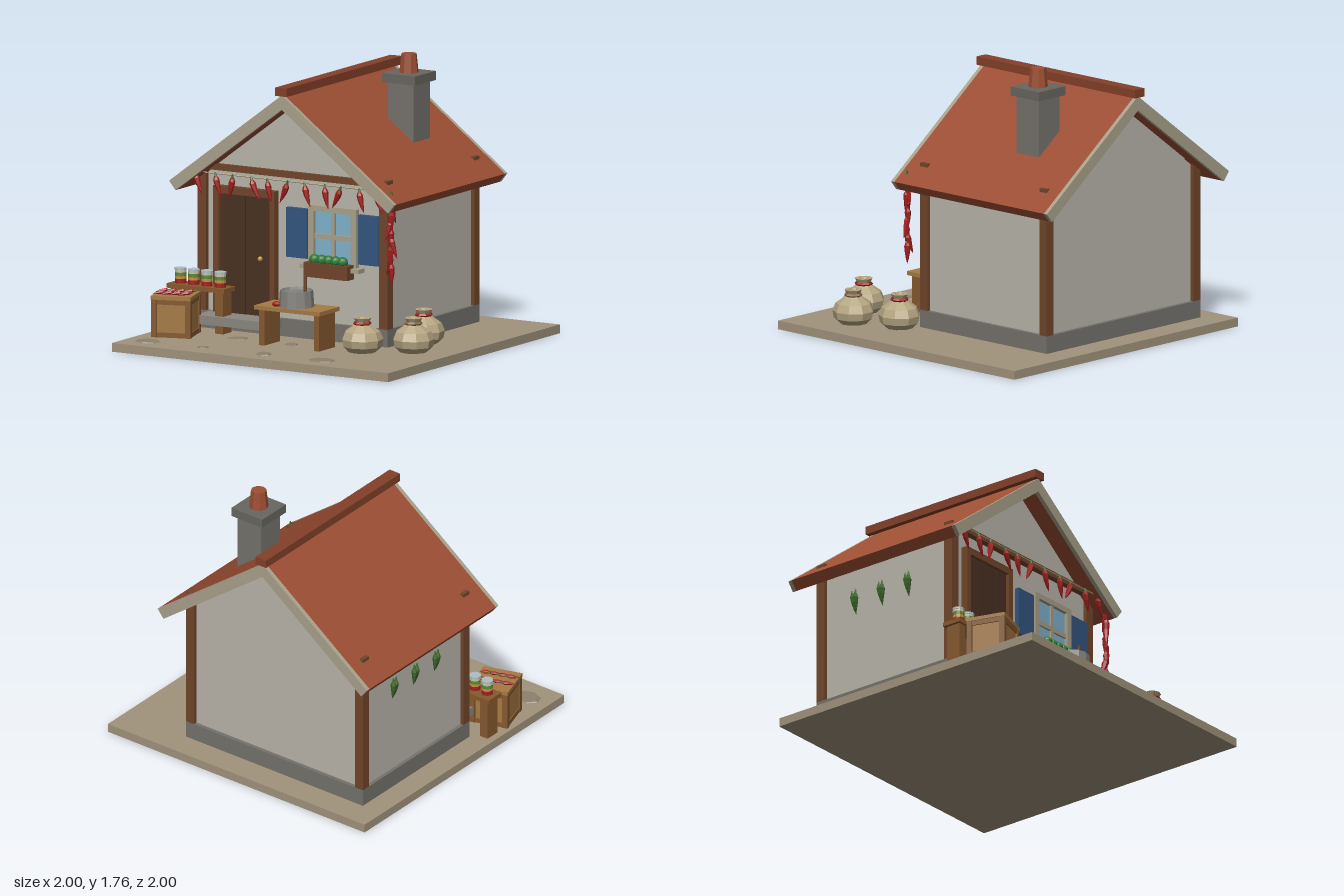
import * as THREE from 'three';

const C = {
  ground: 0xa0937c, stone: 0x75726c, wall: 0xb9b5ab, wood: 0x70452a, door: 0x4a3022, roof: 0x9c4e33,
  ridge: 0x834029, trim: 0xa9a18b, glass: 0x7fb2cb, blue: 0x33557f, leaf: 0x2f7a35, red: 0xa3211f,
  sack: 0xb5a581, oak: 0xa57a43, crate: 0x86592f, gold: 0xc79a3c, patch: 0x8d806c, greenChili: 0x3f6b2c,
};
const mats = {};
const mat = (c) => (mats[c] ??= new THREE.MeshStandardMaterial({ color: c, flatShading: true, side: THREE.DoubleSide }));

function add(parent, name, geo, color, x = 0, y = 0, z = 0) {
  const m = new THREE.Mesh(geo, mat(color));
  m.name = name;
  m.position.set(x, y, z);
  parent.add(m);
  return m;
}

// Box given by its limits on each axis
const box = (p, name, c, x0, x1, y0, y1, z0, z1) =>
  add(p, name, new THREE.BoxGeometry(x1 - x0, y1 - y0, z1 - z0), c, (x0 + x1) / 2, (y0 + y1) / 2, (z0 + z1) / 2);

// Outline in x/y extruded from z0 to z1
function slab(p, name, c, pts, x, z0, z1) {
  const shape = new THREE.Shape(pts.map(([a, b]) => new THREE.Vector2(a, b)));
  return add(p, name, new THREE.ExtrudeGeometry(shape, { depth: z1 - z0, bevelEnabled: false }), c, x, 0, z0);
}

const lathe = (pts, n) => new THREE.LatheGeometry(pts.map(([r, y]) => new THREE.Vector2(r, y)), n);

function group(parent, name, x = 0, y = 0, z = 0) {
  const g = new THREE.Group();
  g.name = name;
  g.position.set(x, y, z);
  parent.add(g);
  return g;
}

// Curved pepper hanging down from its stem
const podGeo = lathe([[0, -0.135], [0.009, -0.105], [0.017, -0.06], [0.02, -0.025], [0.012, -0.005], [0, 0]], 6);
const podPos = podGeo.attributes.position;
for (let i = 0; i < podPos.count; i++) podPos.setX(i, podPos.getX(i) + 1.1 * podPos.getY(i) ** 2);
const stemGeo = new THREE.CylinderGeometry(0.004, 0.01, 0.025, 5);
function chili(parent, color, x, y, z, tilt = 0, scale = 1) {
  const g = group(parent, 'chili', x, y, z);
  add(g, 'pod', podGeo, color);
  add(g, 'stem', stemGeo, C.greenChili, 0, 0.01, 0);
  g.rotation.z = tilt;
  g.scale.setScalar(scale);
  return g;
}

export function createModel() {
  const root = new THREE.Group();
  root.name = 'cottage';
  const CX = -0.162; // ridge line

  // Ground with flat paving stones
  box(root, 'ground', C.ground, -1, 1, 0, 0.055, -1, 1);
  [[-0.84, 0.84, 0.09], [-0.44, 0.84, 0.04], [0, 0.84, 0.065], [0.42, 0.84, 0.09],
    [-0.42, 0.47, 0.07], [-0.03, 0.47, 0.05], [0.42, 0.47, 0.05]].forEach(([x, z, r], i) => {
    const s = add(root, 'pavingStone', new THREE.CylinderGeometry(r * 0.9, r, 0.008, 7), C.patch, x, 0.057, z);
    s.rotation.y = i;
    s.scale.z = 0.8;
  });

  // House body
  box(root, 'foundation', C.stone, -0.85, 0.527, 0.055, 0.165, -0.825, 0.245);
  box(root, 'doorStep', C.stone, -0.76, -0.24, 0.11, 0.165, 0.245, 0.42).material = mat(0x8a877f);
  slab(root, 'walls', C.wall, [[-0.665, 0.165], [0.665, 0.165], [0.665, 1.05], [0, 1.54], [-0.665, 1.05]], CX, -0.8, 0.22);
  for (const [a, b] of [[0.22, 0.235], [-0.815, -0.8]])
    slab(root, 'gable', C.wall, [[-0.6, 1.075], [0.6, 1.075], [0, 1.53]], CX, a, b);
  for (const x of [-0.85, 0.465]) for (const z of [0.183, -0.825])
    box(root, 'cornerPost', C.wood, x, x + 0.062, 0.165, 1.092, z, z + 0.062);
  box(root, 'tieBeam', C.wood, -0.8, 0.48, 1.05, 1.09, 0.21, 0.26);

  // Roof with barge boards and ridge cap
  const chevron = [[0, 1.585], [0.815, 0.976], [0.77, 0.92], [0, 1.495], [-0.77, 0.92], [-0.815, 0.976]];
  slab(root, 'roof', C.roof, chevron, CX, -0.92, 0.345);
  slab(root, 'bargeBoard', C.trim, chevron, CX, 0.345, 0.372);
  slab(root, 'bargeBoard', C.trim, chevron, CX, -0.947, -0.92);
  box(root, 'ridgeCap', C.ridge, -0.203, -0.121, 1.58, 1.632, -0.962, 0.382);

  // Chimney
  box(root, 'chimney', C.stone, 0.14, 0.325, 1.2, 1.59, -0.57, -0.38);
  box(root, 'chimneyCap', 0x68665f, 0.113, 0.353, 1.583, 1.64, -0.595, -0.355);
  add(root, 'chimneyPot', new THREE.CylinderGeometry(0.048, 0.061, 0.118, 8), C.roof, 0.233, 1.698, -0.475);

  // Door
  const door = group(root, 'door');
  for (const x of [-0.725, -0.318]) box(door, 'doorJamb', C.wood, x, x + 0.038, 0.165, 0.91, 0.21, 0.265);
  box(door, 'doorLintel', C.wood, -0.725, -0.28, 0.91, 0.955, 0.21, 0.265);
  for (let i = 0; i < 4; i++) {
    const x = -0.687 + i * 0.0923;
    box(door, 'doorPlank', C.door, x, x + 0.089, 0.165, 0.91, 0.21, i % 2 ? 0.246 : 0.242);
  }
  add(door, 'doorKnob', new THREE.SphereGeometry(0.016, 8, 6), C.gold, -0.388, 0.525, 0.26);

  // Window, shutters and flower box
  const win = group(root, 'window');
  box(win, 'glass', C.glass, -0.01, 0.27, 0.53, 0.87, 0.21, 0.232);
  for (const x of [-0.045, 0.265]) box(win, 'windowFrame', C.trim, x, x + 0.04, 0.53, 0.895, 0.21, 0.255);
  box(win, 'windowFrame', C.trim, -0.045, 0.305, 0.86, 0.895, 0.21, 0.255);
  box(win, 'mullion', C.trim, 0.117, 0.143, 0.53, 0.86, 0.22, 0.245);
  box(win, 'transom', C.trim, -0.005, 0.265, 0.69, 0.72, 0.22, 0.245);
  box(win, 'sill', C.trim, -0.083, 0.343, 0.503, 0.53, 0.21, 0.29);
  for (const x of [-0.205, 0.313]) box(win, 'shutter', C.blue, x, x + 0.15, 0.555, 0.865, 0.21, 0.25);
  box(win, 'flowerBox', C.wood, -0.03, 0.285, 0.46, 0.55, 0.25, 0.33);
  for (let i = 0; i < 5; i++)
    add(win, 'plant', new THREE.IcosahedronGeometry(0.034, 1), C.leaf, 0.025 + i * 0.051, 0.567, 0.29);

  // Chili garland under the front eave
  const garland = group(root, 'chiliGarland');
  const cord = new THREE.LineCurve3(new THREE.Vector3(-0.83, 1.04, 0.31), new THREE.Vector3(0.52, 1.04, 0.31));
  add(garland, 'cord', new THREE.TubeGeometry(cord, 1, 0.004, 5), C.sack);
  [-0.82, -0.675, -0.555, -0.415, -0.3, -0.16, -0.03, 0.115, 0.225, 0.365, 0.485].forEach((x, i) => {
    const g = chili(garland, C.red, x, 1.025, 0.315, [0.25, 0.15, 0.05, 0.3, 0.1][i % 5]);
    if (i % 3 === 2) g.rotation.y = Math.PI;
  });

  // Hanging string of chilies at the corner
  const strand = group(root, 'chiliStrand');
  add(strand, 'cord', new THREE.CylinderGeometry(0.004, 0.004, 0.5, 5), C.sack, 0.585, 0.78, 0.3);
  for (let i = 0; i < 9; i++) {
    const s = i % 2 ? 1 : -1;
    chili(strand, C.red, 0.585, 1.025 - i * 0.054, 0.3, s * 0.16).rotation.y = i * 1.3;
  }

  // Green chilies on the left-hand wall
  for (const z of [-0.52, -0.31, -0.1]) {
    for (const s of [-1, 1]) chili(root, C.greenChili, -0.862, 0.81, z + s * 0.012).rotation.x = s * 0.1;
    add(root, 'hook', new THREE.CylinderGeometry(0.005, 0.005, 0.05, 5), C.sack, -0.85, 0.83, z);
  }

  // Table with mortar and pestle
  const table = group(root, 'table');
  box(table, 'tableTop', C.oak, -0.215, 0.26, 0.28, 0.305, 0.375, 0.61);
  for (const x of [-0.193, 0.203]) box(table, 'tableLeg', C.crate, x, x + 0.038, 0.055, 0.28, 0.4, 0.585);
  add(table, 'mortar', lathe([[0, 0.305], [0.11, 0.305], [0.102, 0.408], [0.092, 0.408], [0.088, 0.395], [0, 0.395]], 12),
    0x85837f, 0.022, 0, 0.495);
  add(table, 'pestle', new THREE.CylinderGeometry(0.011, 0.011, 0.13, 7), C.wood, 0.085, 0.435, 0.495);
  add(table, 'pepper', new THREE.SphereGeometry(0.03, 7, 5), C.red, -0.085, 0.317, 0.555).scale.y = 0.6;

  // Bench with striped jars
  const bench = group(root, 'bench');
  box(bench, 'benchTop', C.crate, -0.975, -0.56, 0.312, 0.34, 0.275, 0.405);
  for (const x of [-0.955, -0.635]) box(bench, 'benchLeg', C.crate, x, x + 0.06, 0.055, 0.312, 0.29, 0.39);
  for (const x of [-0.91, -0.815, -0.72, -0.623]) {
    const jar = group(bench, 'jar', x, 0.34, 0.345);
    let y = 0;
    for (const [h, c, r] of [[0.028, C.red, 0.036], [0.018, 0xc98f3a, 0.036], [0.022, 0x5a8a3c, 0.036], [0.016, 0xc9c6a0, 0.036], [0.012, 0xaebfc4, 0.038]]) {
      add(jar, 'jarBand', new THREE.CylinderGeometry(r, r, h, 10), c, 0, y + h / 2, 0);
      y += h;
    }
  }

  // Crate turned slightly, with loose chilies on top
  const crate = group(root, 'crate', -0.82, 0.055, 0.545);
  crate.rotation.y = 0.3;
  box(crate, 'crateBody', C.oak, -0.115, 0.115, 0, 0.245, -0.115, 0.115);
  box(crate, 'crateLid', C.oak, -0.127, 0.127, 0.235, 0.258, -0.127, 0.127);
  for (const sx of [-0.108, 0.108]) for (const sz of [-0.108, 0.108])
    box(crate, 'crateCorner', C.crate, sx - 0.018, sx + 0.018, 0, 0.236, sz - 0.018, sz + 0.018);
  for (const y of [0, 0.205]) box(crate, 'crateRail', C.crate, -0.122, 0.122, y, y + 0.03, -0.122, 0.122);
  for (let i = 0; i < 8; i++) {
    const g = chili(crate, C.red, -0.06 + (i % 4) * 0.055, 0.27, i < 4 ? -0.045 : 0.04, 0, 0.6);
    g.rotation.set(0, 0.35, -Math.PI / 2);
  }

  // Tied sacks
  const sackGeo = lathe([[0, 0.095], [0.085, 0.1], [0.122, 0.135], [0.13, 0.18], [0.11, 0.228], [0.06, 0.262],
    [0.038, 0.28], [0.056, 0.312], [0.03, 0.312], [0.02, 0.285], [0, 0.285]], 9);
  [[0.76, 0.2, C.red], [0.865, 0.49, 0x8a6a42], [0.598, 0.655, C.red]].forEach(([x, z, tie], i) => {
    const s = group(root, 'sack', x, 0, z);
    add(s, 'sackBody', sackGeo, C.sack);
    add(s, 'sackTie', new THREE.TorusGeometry(0.045, 0.012, 5, 8), tie, 0, 0.278, 0).rotation.x = Math.PI / 2;
    s.rotation.y = i * 0.7;
  });

  return root;
}
